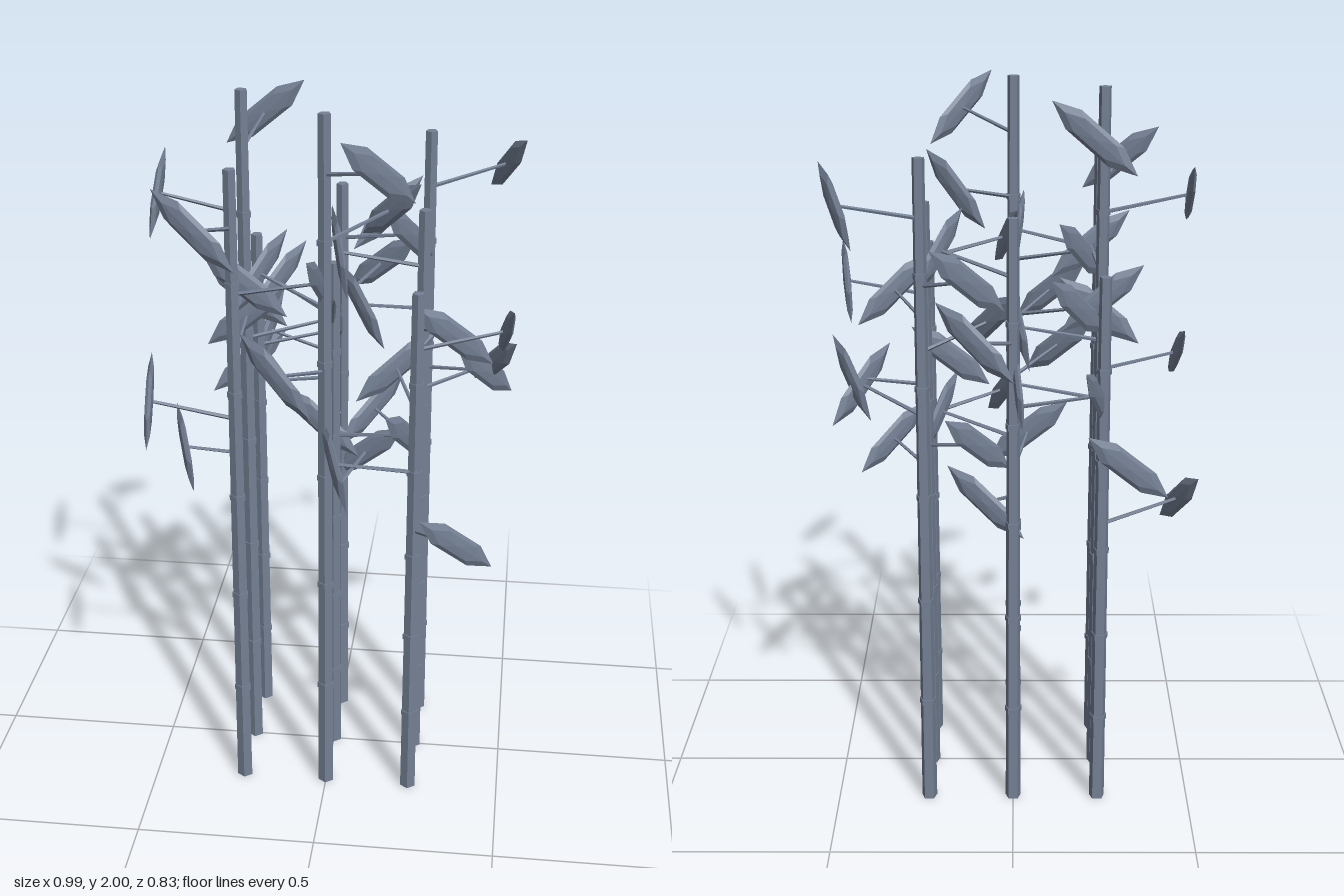
import * as THREE from 'three';

const material = new THREE.MeshStandardMaterial({ color: 0x748094, flatShading: true });
const UP = new THREE.Vector3(0, 1, 0);

// Stalk grid: column, row, height, heading of the lowest branch in degrees
const STALKS = [
  [-1, -1, 1.54, 158], [-1, 0, 2.0, -14], [-1, 1, 1.85, 174],
  [0, -1, 1.695, 100], [0, 0, 1.54, 289], [0, 1, 2.0, 118],
  [1, -1, 1.85, 42], [1, 0, 1.695, 231], [1, 1, 1.54, 58],
];
const BASE_R = 0.0225, TOP_R = 0.017, SEGMENTS = 6;
const BRANCHES = 4, TURN = 1.7; // each branch turns on by a fixed angle

// Long six-cornered blade, thickest in the middle and flat in z, shared by all leaves
const leafGeometry = new THREE.SphereGeometry(1, 6, 4)
  .rotateX(Math.PI / 2).rotateZ(Math.PI / 2).scale(0.037, 0.145, 0.011);

function addMesh(parent, name, geometry) {
  const mesh = new THREE.Mesh(geometry, material);
  mesh.name = name;
  parent.add(mesh);
  return mesh;
}

// Twig rising outward from the stalk, with a tilted leaf across its end
function addBranch(stalk, y, angle) {
  const branch = new THREE.Group();
  branch.name = 'branch';
  branch.position.y = y;
  stalk.add(branch);

  const end = new THREE.Vector3(0.231 * Math.cos(angle), 0.05, 0.182 * Math.sin(angle));
  const twig = addMesh(branch, 'twig', new THREE.CylinderGeometry(0.0045, 0.006, end.length(), 5));
  twig.position.copy(end).multiplyScalar(0.5);
  twig.quaternion.setFromUnitVectors(UP, end.clone().normalize());

  // Blade axis runs sideways and upward; its thin side faces along the twig
  const tilt = 0.7;
  const axis = new THREE.Vector3(
    -Math.sin(angle) * Math.cos(tilt), Math.sin(tilt), Math.cos(angle) * Math.cos(tilt));
  const outward = new THREE.Vector3(Math.cos(angle), 0, Math.sin(angle));
  const across = new THREE.Vector3().crossVectors(axis, outward);
  const leaf = addMesh(branch, 'leaf', leafGeometry);
  leaf.position.copy(end);
  leaf.quaternion.setFromRotationMatrix(new THREE.Matrix4().makeBasis(across, axis, outward));
}

function createStalk(height, heading) {
  const stalk = new THREE.Group();
  stalk.name = 'stalk';

  const cane = addMesh(stalk, 'cane', new THREE.CylinderGeometry(TOP_R, BASE_R, height, 5));
  cane.position.y = height / 2;

  // Raised joints between the cane segments
  for (let k = 1; k < SEGMENTS; k++) {
    const r = THREE.MathUtils.lerp(BASE_R, TOP_R, k / SEGMENTS) + 0.003;
    const joint = addMesh(stalk, 'joint', new THREE.CylinderGeometry(r, r, 0.016, 5));
    joint.position.y = (height * k) / SEGMENTS;
  }

  // Branches spiral up the top of the cane
  for (let k = 0; k < BRANCHES; k++) {
    addBranch(stalk, height - 0.69 + 0.178 * k, THREE.MathUtils.degToRad(heading) + TURN * k);
  }
  return stalk;
}

export function createModel() {
  const model = new THREE.Group();
  model.name = 'bambooGrove';
  for (const [column, row, height, heading] of STALKS) {
    const stalk = createStalk(height, heading);
    stalk.position.set(0.241 * column, 0, 0.204 * row - 0.002);
    model.add(stalk);
  }
  return model;
}
